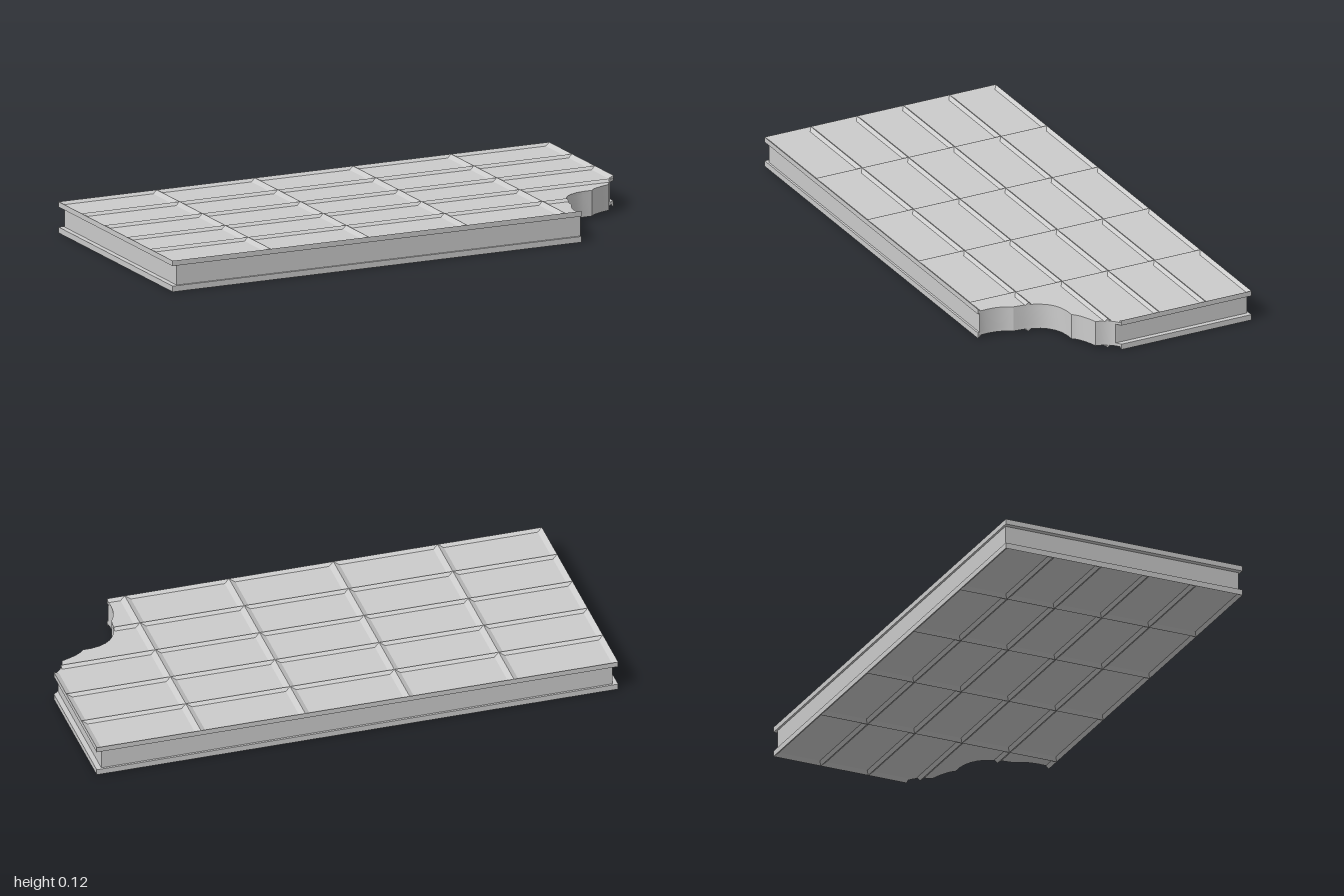
import * as THREE from 'three';
import { toCreasedNormals } from 'three/addons/utils/BufferGeometryUtils.js';

const material = new THREE.MeshStandardMaterial({ color: 0xcccccc });
const X = 1, Z = 0.48, H = 0.118;      // half length, half depth, full height
const RIDGE = 0.01;                    // ridge height above the panels
const WX = 0.02, WZ = 0.013;           // half widths of ridges across x and across z

// Bite: four scalloped arcs as start, control, end in (x, z)
const bite = [
  [1, 0.06, 0.955, 0.085, 0.945, 0.138],
  [0.945, 0.138, 0.87, 0.16, 0.85, 0.188],
  [0.85, 0.188, 0.7, 0.18, 0.692, 0.345],
  [0.692, 0.345, 0.655, 0.4, 0.667, 0.48],
].flatMap(([a, b, c, d, e, f], i) =>
  new THREE.QuadraticBezierCurve(new THREE.Vector2(a, b), new THREE.Vector2(c, d), new THREE.Vector2(e, f))
    .getPoints(8).slice(i ? 1 : 0));

// Where the bite edge crosses a given z
function biteX(z) {
  for (let i = 1; i < bite.length; i++) {
    const p = bite[i - 1], q = bite[i];
    if (z >= p.y && z <= q.y && q.y > p.y) return p.x + (q.x - p.x) * (z - p.y) / (q.y - p.y);
  }
  return X;
}

// Slab with the bitten corner, between two heights
function slab(name, y0, y1, insetX, insetZ) {
  const x = X - insetX, z = Z - insetZ;
  const edge = bite.map(p => new THREE.Vector2(Math.min(p.x, x), -Math.min(p.y, z)));
  const shape = new THREE.Shape([
    new THREE.Vector2(-x, -z), ...edge.reverse(), new THREE.Vector2(x, z), new THREE.Vector2(-x, z),
  ]);
  const g = new THREE.ExtrudeGeometry(shape, { depth: y1 - y0, bevelEnabled: false });
  g.rotateX(-Math.PI / 2).translate(0, y0, 0);
  const mesh = new THREE.Mesh(toCreasedNormals(g, 0.4), material);
  mesh.name = name;
  return mesh;
}

// Triangular ridge; left and right are the foot widths, side is 1 for top and -1 for bottom
function ridge(name, side, left, right, length) {
  const shape = new THREE.Shape();
  shape.moveTo(-left, 0);
  shape.lineTo(right, 0);
  shape.lineTo(0, side * RIDGE);
  const mesh = new THREE.Mesh(
    new THREE.ExtrudeGeometry(shape, { depth: length, bevelEnabled: false }), material);
  mesh.name = name;
  mesh.position.y = side > 0 ? H - RIDGE : RIDGE;
  return mesh;
}

export function createModel() {
  const model = new THREE.Group();
  model.name = 'bittenWafer';

  // Filling between two overhanging wafer sheets
  model.add(slab('filling', 0.022, 0.098, 0.02, 0.008));
  model.add(slab('bottomSheet', RIDGE, 0.022, 0, 0));
  model.add(slab('topSheet', 0.098, H - RIDGE, 0, 0));

  // Waffle grid and rim on both faces, five cells each way
  for (const side of [1, -1]) {
    const grid = new THREE.Group();
    grid.name = side > 0 ? 'topGrid' : 'bottomGrid';
    for (let i = 0; i <= 5; i++) {
      const first = i === 0, last = i === 5;
      const kind = first || last ? 'rim' : 'ridge';

      // Running front to back
      const x = -X + i * 0.4;
      const across = ridge(kind + 'Across', side, first ? 0 : WX, last ? 0 : WX, last ? Z + 0.06 : 2 * Z);
      across.position.x = x;
      across.position.z = -Z;
      grid.add(across);

      // Running lengthwise, stopped at the bite
      const z = -Z + i * 0.192;
      const end = last ? 0.667 : biteX(z);
      const along = ridge(kind + 'Along', side, last ? 0 : WZ, first ? 0 : WZ, end + X);
      along.rotation.y = Math.PI / 2;
      along.position.x = -X;
      along.position.z = z;
      grid.add(along);
    }
    model.add(grid);
  }
  return model;
}
